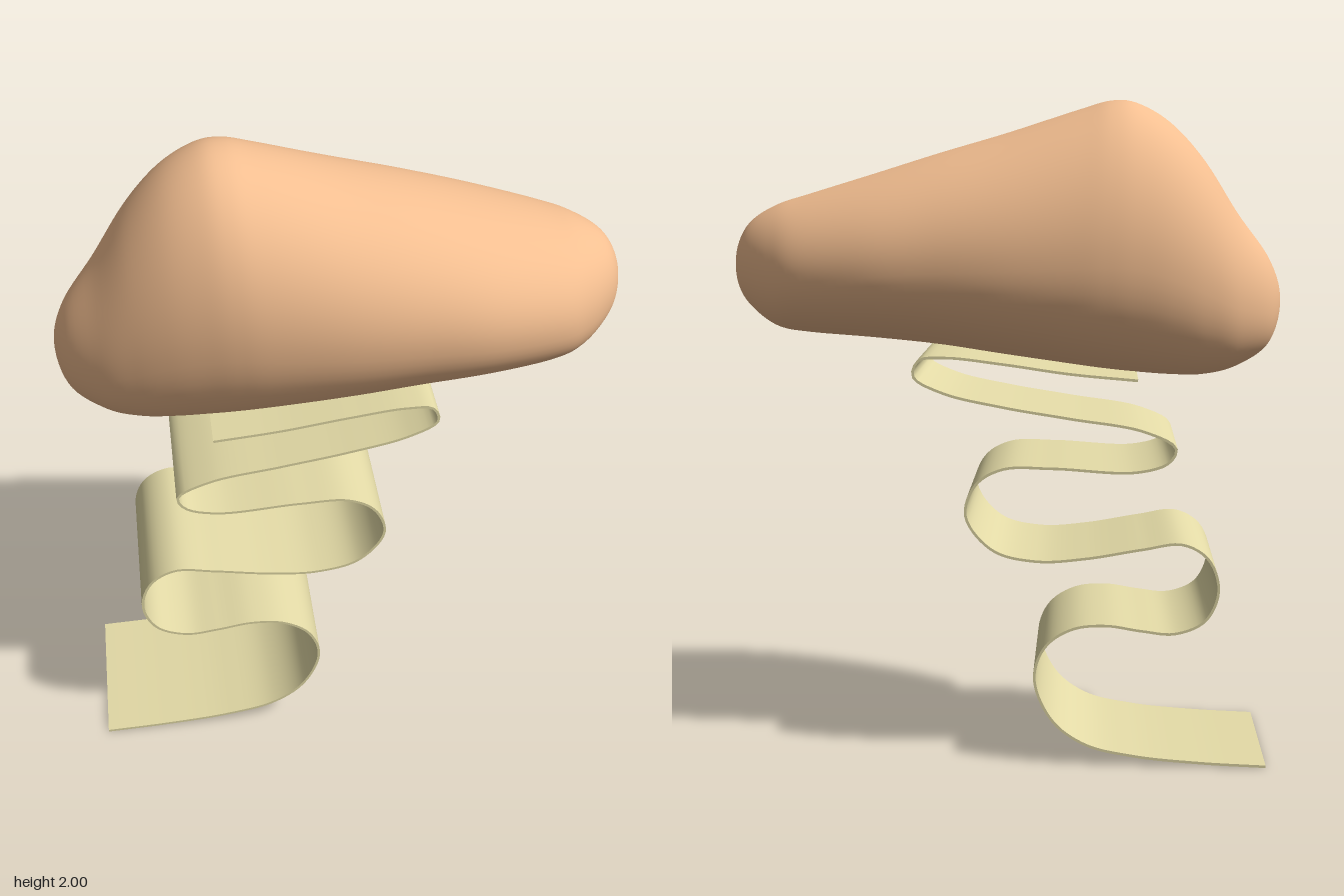
import * as THREE from 'three';
import { mergeVertices, toCreasedNormals } from 'three/addons/utils/BufferGeometryUtils.js';

// Boulder stations from end to end: x, top height, bottom height, half width
const STATIONS = [
  [-0.835, 1.4, 1.4, 0], [-0.8, 1.525, 1.27, 0.105], [-0.7, 1.665, 1.2, 0.195],
  [-0.6, 1.82, 1.175, 0.25], [-0.5, 1.93, 1.175, 0.29], [-0.4, 1.99, 1.182, 0.318],
  [-0.32, 2.0, 1.19, 0.335], [-0.22, 1.973, 1.203, 0.347], [0, 1.903, 1.235, 0.36],
  [0.2, 1.845, 1.265, 0.356], [0.4, 1.783, 1.285, 0.338], [0.6, 1.722, 1.3, 0.285],
  [0.7, 1.69, 1.318, 0.225], [0.78, 1.642, 1.375, 0.145], [0.82, 1.58, 1.435, 0.075],
  [0.832, 1.51, 1.51, 0],
];

function boulderGeometry(segments = 96, sides = 64) {
  // Mirrored stations beyond each end keep the ends round
  const flip = ([x, top, bottom, w]) => [x, bottom, top, -w];
  const s = [flip(STATIONS[1]), ...STATIONS, flip(STATIONS.at(-2))];
  const spline = (f) => new THREE.CatmullRomCurve3(s.map(f), false, 'catmullrom', 0.5);
  const heights = spline(([x, t, b]) => new THREE.Vector3(x, t, b));
  const widths = spline(([x, , , w]) => new THREE.Vector3(x, w, 0));
  const positions = [], index = [];
  for (let i = 0; i <= segments; i++) {
    const u = (1 + (i / segments) * (STATIONS.length - 1)) / (s.length - 1);
    const { x, y: top, z: bottom } = heights.getPoint(u);
    const width = widths.getPoint(u).y;
    const middle = bottom + 0.46 * (top - bottom);
    for (let j = 0; j < sides; j++) {
      const a = (j / sides) * Math.PI * 2;
      const c = Math.cos(a), n = Math.sin(a);
      // Elliptical above, slightly fuller below
      const power = n < 0 ? 0.9 : 1;
      const z = width * Math.sign(c) * Math.abs(c) ** power;
      const y = n < 0 ? middle - (middle - bottom) * (-n) ** power : middle + (top - middle) * n;
      positions.push(x, y, z);
      if (i < segments) {
        const k = (j + 1) % sides, p = i * sides, q = p + sides;
        index.push(p + j, q + j, p + k, q + j, q + k, p + k);
      }
    }
  }
  let g = new THREE.BufferGeometry();
  g.setAttribute('position', new THREE.Float32BufferAttribute(positions, 3));
  g.setIndex(index);
  g = mergeVertices(g, 1e-5);
  g.computeVertexNormals();
  return g;
}

// Winding path of the ribbon, from the ground up to the boulder
const PATH = [
  [-0.8, 0.004], [-0.6, 0.012], [-0.4, 0.03], [-0.25, 0.065], [-0.15, 0.14], [-0.097, 0.27],
  [-0.13, 0.37], [-0.21, 0.425], [-0.31, 0.438], [-0.42, 0.423], [-0.52, 0.416], [-0.61, 0.457],
  [-0.648, 0.55], [-0.617, 0.645], [-0.54, 0.69], [-0.42, 0.674], [-0.25, 0.644], [-0.1, 0.634],
  [0.03, 0.667], [0.11, 0.77], [0.08, 0.865], [0, 0.913], [-0.15, 0.917], [-0.4, 0.908],
  [-0.495, 0.938], [-0.515, 0.98], [-0.42, 1.03], [-0.2, 1.067], [0, 1.1], [0.18, 1.142],
  [0.264, 1.19], [0.248, 1.237], [0.17, 1.246], [0, 1.228], [-0.2, 1.2], [-0.4, 1.182],
];

function ribbonGeometry(width = 0.5, thickness = 0.008, steps = 260) {
  const curve = new THREE.CatmullRomCurve3(PATH.map(([x, y]) => new THREE.Vector3(x, y, 0)));
  const left = [], right = [];
  for (let i = 0; i <= steps; i++) {
    const p = curve.getPointAt(i / steps), t = curve.getTangentAt(i / steps);
    const h = thickness / 2;
    left.push(new THREE.Vector2(p.x - t.y * h, p.y + t.x * h));
    right.push(new THREE.Vector2(p.x + t.y * h, p.y - t.x * h));
  }
  const shape = new THREE.Shape([...right, ...left.reverse()]);
  const g = new THREE.ExtrudeGeometry(shape, { depth: width, bevelEnabled: false });
  g.translate(0, 0, -width / 2);
  return toCreasedNormals(g, 0.7);
}

export function createModel() {
  const group = new THREE.Group();
  group.name = 'boulderOnRibbon';
  const add = (name, geometry, color) => {
    const mesh = new THREE.Mesh(geometry, new THREE.MeshStandardMaterial({ color }));
    mesh.name = name;
    group.add(mesh);
  };
  add('boulder', boulderGeometry(), 0xf4bf91);
  add('ribbon', ribbonGeometry(), 0xe3daa6);
  return group;
}
